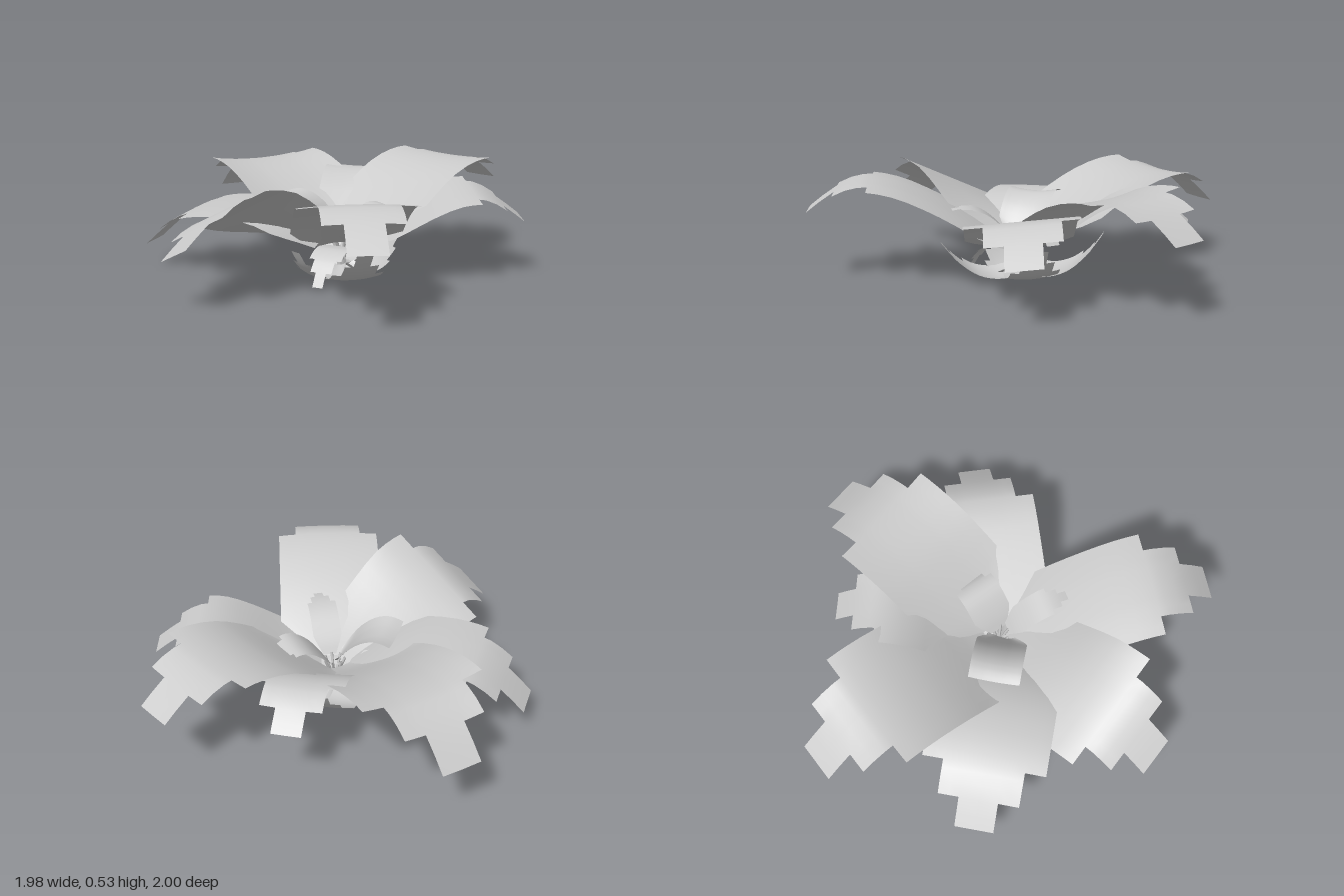
import * as THREE from 'three';

const material = new THREE.MeshStandardMaterial({ color: 0xcccccc, side: THREE.DoubleSide });
const STATIONS = [0.04, 0.15, 0.3, 0.45, 0.6, 0.75, 0.87, 1]; // fractions of leaf length
const COLUMNS = [-1, -0.82, -0.66, -0.48, -0.32, 0, 0.32, 0.48, 0.66, 0.82, 1];
const ROWS = [0.04, 0.1, 0.15, 0.22, 0.3, 0.38, 0.45, 0.53, 0.6, 0.66, 0.71, 0.75, 0.81, 0.87, 0.94, 1];

// Height along the midrib, eased between the stations
function heightCurve(heights) {
  const curve = new THREE.CatmullRomCurve3(STATIONS.map((t, i) => new THREE.Vector3(t, heights[i], 0)));
  const points = curve.getPoints(70);
  return (t) => {
    let i = 1;
    while (i < points.length - 1 && points[i].x < t) i++;
    const a = points[i - 1], b = points[i];
    return a.y + (b.y - a.y) * THREE.MathUtils.clamp((t - a.x) / (b.x - a.x), 0, 1);
  };
}

// A curved sheet whose outline narrows in two square steps at the tip
function leaf({ name, at, dir, length, half, heights, roll = 0, cup = 0, stepped = true, neck = 0.45 }) {
  const y = heightCurve(heights);
  const d = new THREE.Vector2(...dir).normalize();
  const positions = [], index = [];
  for (const t of ROWS) {
    const grow = Math.min(1, neck + (1 - neck) * (t - 0.04) / 0.16);
    for (const s of COLUMNS) {
      const side = s * half * grow, r = t * length;
      const rise = roll * s * Math.min(1, t / 0.5) + cup * s * s * (1 - t * 0.6);
      positions.push(at[0] + d.x * r - d.y * side, y(t) + rise, at[1] + d.y * r + d.x * side);
    }
  }
  const n = COLUMNS.length;
  for (let i = 0; i < ROWS.length - 1; i++) {
    const mid = (ROWS[i] + ROWS[i + 1]) / 2;
    const limit = !stepped || mid < 0.71 ? 1 : mid < 0.87 ? 0.66 : 0.32;
    for (let j = 0; j < n - 1; j++) {
      if (Math.abs(COLUMNS[j] + COLUMNS[j + 1]) / 2 > limit) continue;
      const a = i * n + j, b = a + 1, c = a + n, e = c + 1;
      index.push(a, b, c, b, e, c);
    }
  }
  const geometry = new THREE.BufferGeometry();
  geometry.setAttribute('position', new THREE.Float32BufferAttribute(positions, 3));
  geometry.setIndex(index);
  geometry.computeVertexNormals();
  const mesh = new THREE.Mesh(geometry, material);
  mesh.name = name;
  return mesh;
}

// Large spreading leaves
const LARGE = [
  { name: 'backLeaf', at: [-0.04, 0.05], dir: [0, -1], length: 1.05, half: 0.3, cup: 0.05,
    heights: [0.18, 0.24, 0.335, 0.41, 0.455, 0.46, 0.405, 0.285] },
  { name: 'leftLeaf', at: [-0.015, 0.075], dir: [0.975, -0.21], length: 1, half: 0.28, cup: 0.03,
    heights: [0.18, 0.26, 0.365, 0.45, 0.495, 0.5, 0.455, 0.365] },
  { name: 'frontLeaf', at: [-0.045, 0.07], dir: [-0.45, 0.89], length: 1, half: 0.255, cup: -0.02,
    heights: [0.18, 0.24, 0.335, 0.415, 0.475, 0.495, 0.455, 0.36] },
  { name: 'rightLeaf', at: [-0.05, 0.02], dir: [-0.974, 0.225], length: 0.95, half: 0.27, roll: -0.125,
    heights: [0.18, 0.22, 0.285, 0.35, 0.4, 0.41, 0.355, 0.265] },
  { name: 'backRightLeaf', at: [-0.106, 0.065], dir: [-0.66, -0.75], length: 0.9, half: 0.285, cup: -0.015,
    heights: [0.19, 0.25, 0.31, 0.335, 0.335, 0.305, 0.235, 0.13] },
  { name: 'backLeftLeaf', at: [0.04, 0.033], dir: [0.67, -0.74], length: 0.7, half: 0.21, cup: 0.02,
    heights: [0.18, 0.23, 0.305, 0.38, 0.425, 0.43, 0.39, 0.32] },
  { name: 'frontLeftLeaf', at: [-0.027, 0.1], dir: [0.88, 0.47], length: 0.82, half: 0.25, roll: -0.02,
    heights: [0.18, 0.22, 0.285, 0.355, 0.405, 0.41, 0.36, 0.28] },
];

// Small young leaves in the heart of the plant
const YOUNG = [
  { name: 'uprightLeaf', at: [-0.06, 0.08], dir: [-0.66, -0.75], length: 0.3, half: 0.12, cup: 0.03, stepped: false,
    heights: [0.18, 0.23, 0.29, 0.335, 0.365, 0.38, 0.38, 0.37] },
  { name: 'youngLeftLeaf', at: [-0.03, 0.08], dir: [1, 0.06], length: 0.32, half: 0.1,
    heights: [0.18, 0.23, 0.28, 0.315, 0.33, 0.32, 0.29, 0.24] },
  { name: 'youngFrontLeaf', at: [-0.04, 0.1], dir: [-0.3, 0.95], length: 0.31, half: 0.07,
    heights: [0.19, 0.24, 0.29, 0.33, 0.355, 0.365, 0.365, 0.36] },
];

// Low curled leaves forming a loose bowl under the crown
const BOWL = [0.06, 0.04, 0.025, 0.03, 0.05, 0.09, 0.135, 0.2];
const LOW = [
  { dir: [-0.3, 0.95], length: 0.4, half: 0.12 },
  { dir: [0.65, -0.75], length: 0.38, half: 0.14, lift: 0.04 },
  { dir: [0.95, 0.25], length: 0.28, half: 0.12 },
  { dir: [-0.98, 0.1], length: 0.27, half: 0.1, lift: -0.04 },
];

export function createModel() {
  const group = new THREE.Group();
  group.name = 'plant';
  for (const spec of [...LARGE, ...YOUNG]) group.add(leaf(spec));
  LOW.forEach(({ lift = 0, ...spec }, i) => group.add(leaf({
    name: `lowCurledLeaf${i + 1}`, at: [-0.04, 0.06], cup: 0.02,
    heights: BOWL.map((h, k) => h + lift * k / 7), ...spec,
  })));
  // Withered leaf hanging beside the stem
  group.add(leaf({ name: 'hangingLeaf', at: [-0.04, 0.08], dir: [-0.85, 0.53], length: 0.28, half: 0.08,
    heights: [0.15, 0.16, 0.165, 0.165, 0.15, 0.12, 0.08, 0.02] }));
  // Thin stalks joining the leaf bases at the root
  for (let i = 0; i < 7; i++) {
    const a = (i / 7) * Math.PI * 2, c = Math.cos(a), s = Math.sin(a);
    const path = new THREE.CatmullRomCurve3([
      new THREE.Vector3(-0.04 + 0.012 * c, 0.015, 0.06 + 0.012 * s),
      new THREE.Vector3(-0.04 + 0.015 * c, 0.1, 0.06 + 0.015 * s),
      new THREE.Vector3(-0.04 + 0.05 * c, 0.2, 0.06 + 0.05 * s),
    ]);
    const stalk = new THREE.Mesh(new THREE.TubeGeometry(path, 6, 0.007, 5), material);
    stalk.name = 'stalk';
    group.add(stalk);
  }
  return group;
}
